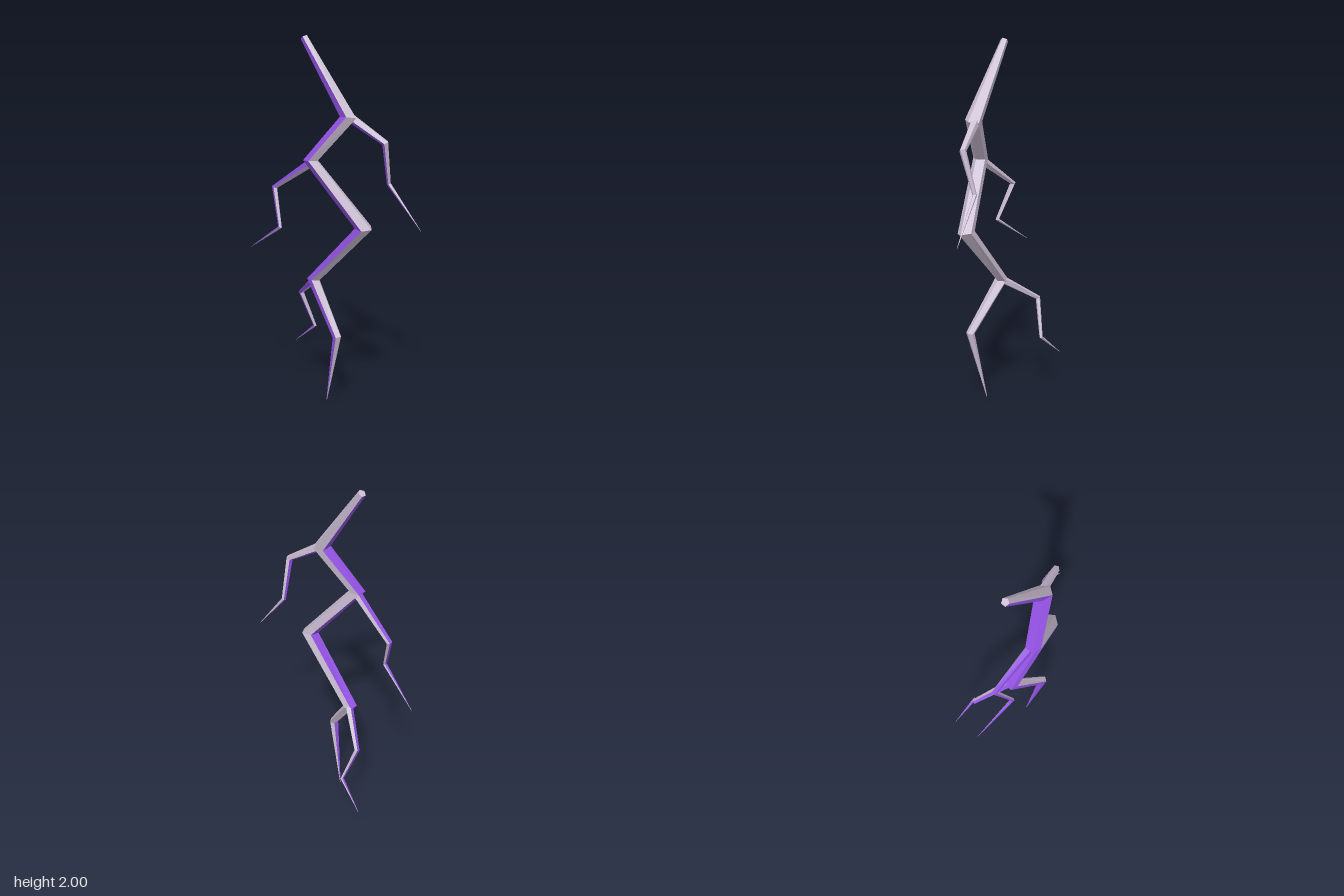
import * as THREE from 'three';

const SIDES = 5;
const PURPLE_SIDES = [1, 2]; // the front and the right-hand side of each bolt

// Tapered five-sided bolt through [x, y, z, radius] points, with mitred joints
function boltGeometry(points) {
  const centres = points.map(([x, y, z]) => new THREE.Vector3(x, y, z));
  const last = centres.length - 1;
  const dir = (k) => centres[k + 1].clone().sub(centres[k]).normalize();
  const rings = centres.map((c, k) => {
    const t = new THREE.Vector3();
    if (k > 0) t.add(dir(k - 1));
    if (k < last) t.add(dir(k));
    t.normalize();
    const u = new THREE.Vector3(1, 0, 0).addScaledVector(t, -t.x).normalize();
    const v = t.clone().cross(u);
    return Array.from({ length: SIDES }, (_, i) => {
      const a = (i / SIDES) * Math.PI * 2;
      const r = points[k][3];
      return c.clone().addScaledVector(u, r * Math.cos(a)).addScaledVector(v, r * Math.sin(a));
    });
  });

  const pale = [];
  const purple = [];
  for (let i = 0; i < SIDES; i++) {
    const j = (i + 1) % SIDES;
    const target = PURPLE_SIDES.includes(i) ? purple : pale;
    for (let k = 0; k < last; k++) {
      const a = rings[k], b = rings[k + 1];
      target.push(a[i], a[j], b[j], a[i], b[j], b[i]);
    }
    // End caps
    pale.push(centres[0], rings[0][j], rings[0][i]);
    pale.push(centres[last], rings[last][i], rings[last][j]);
  }

  const geometry = new THREE.BufferGeometry().setFromPoints([...pale, ...purple]);
  geometry.addGroup(0, pale.length, 0);
  geometry.addGroup(pale.length, purple.length, 1);
  geometry.computeVertexNormals();
  return geometry;
}

export function createModel() {
  const paleLavender = new THREE.MeshStandardMaterial({ color: 0xcabdd2 });
  paleLavender.name = 'paleLavender';
  const purple = new THREE.MeshStandardMaterial({ color: 0x9050e0 });
  purple.name = 'purple';

  const bolts = {
    // Zigzag from the blunt top down to the point
    mainBolt: [
      [-0.152, 1.988, 0.047, 0.021],
      [0.133, 1.585, 0.04, 0.047],
      [-0.046, 1.357, 0.13, 0.042],
      [0.222, 1.008, 0.025, 0.048],
      [-0.107, 0.675, 0.032, 0.037],
      [0.1, 0.4, 0.095, 0.025],
      [0, 0.001, 0.057, 0.002],
    ],
    upperLeftBranch: [
      [0.14, 1.58, 0.025, 0.025],
      [0.315, 1.46, -0.03, 0.019],
      [0.299, 1.236, -0.092, 0.012],
      [0.484, 1.0, -0.12, 0.001],
    ],
    middleRightBranch: [
      [-0.05, 1.345, 0.122, 0.024],
      [-0.318, 1.18, 0.105, 0.016],
      [-0.24, 0.975, 0.157, 0.011],
      [-0.486, 0.82, 0.121, 0.001],
    ],
    lowerRightBranch: [
      [-0.11, 0.67, 0.02, 0.022],
      [-0.294, 0.54, -0.09, 0.015],
      [-0.241, 0.33, -0.149, 0.01],
      [-0.401, 0.2, -0.171, 0.001],
    ],
  };

  const group = new THREE.Group();
  group.name = 'lightningBolt';
  for (const [name, points] of Object.entries(bolts)) {
    const mesh = new THREE.Mesh(boltGeometry(points), [paleLavender, purple]);
    mesh.name = name;
    group.add(mesh);
  }
  return group;
}
